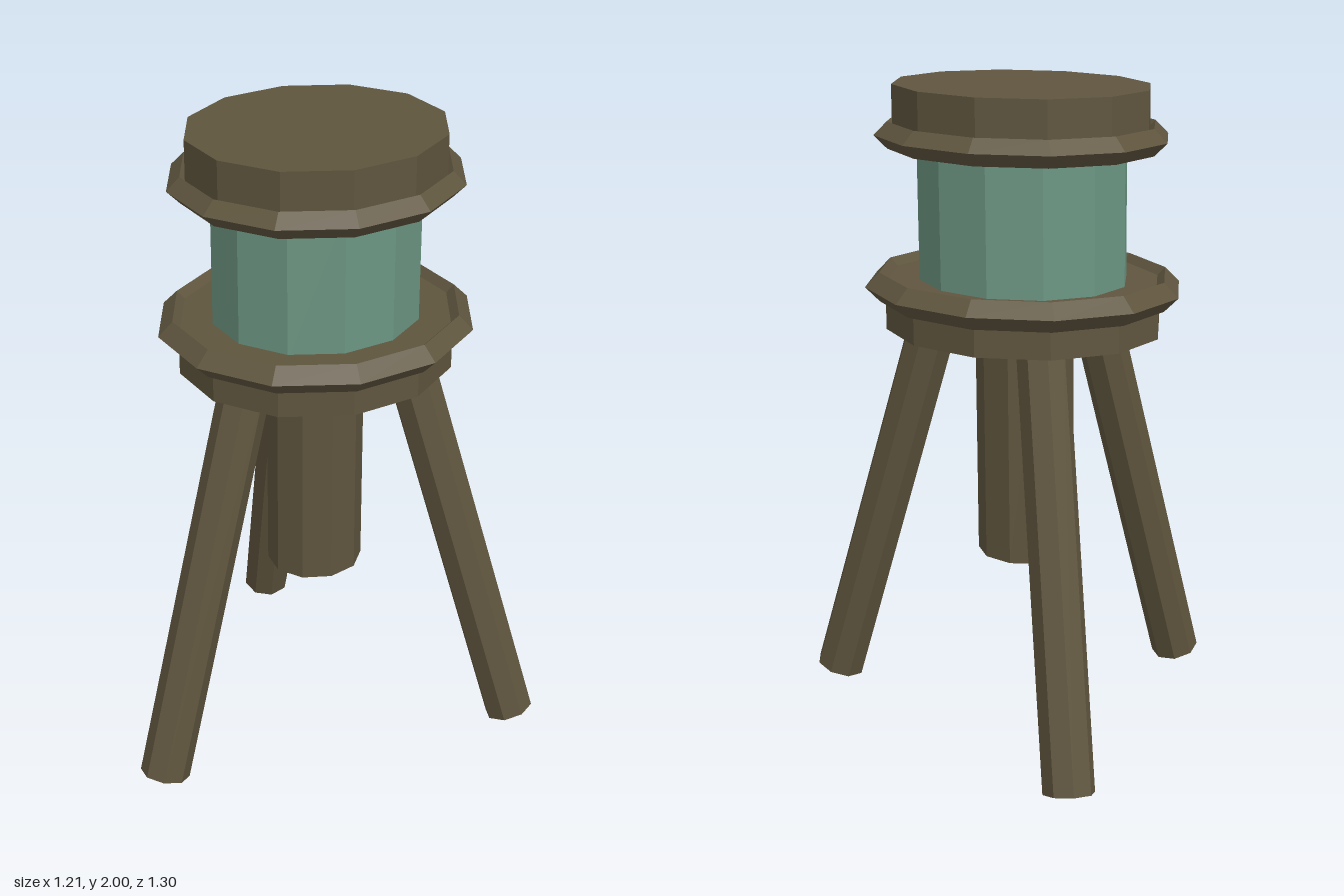
import * as THREE from 'three';

export function createModel() {
  const model = new THREE.Group();
  const bronze = new THREE.MeshStandardMaterial({ color: 0x5f553e });
  bronze.name = 'dark bronze';
  const glass = new THREE.MeshStandardMaterial({ color: 0x6c9682 });
  glass.name = 'green glass';

  // The whole body leans slightly around an off-centre axis
  const lean = new THREE.Matrix4().set(
    1, 0.0147, 0, -0.14,
    0.0155, 1, 0, 0,
    0, 0, 1, 0,
    0, 0, 0, 1
  );

  // Adds a faceted part
  function add(name, geometry, material) {
    const flat = geometry.toNonIndexed().applyMatrix4(lean);
    flat.computeVertexNormals();
    const mesh = new THREE.Mesh(flat, material);
    mesh.name = name;
    model.add(mesh);
  }

  // Upright prism between two heights
  const prism = (radius, y0, y1, sides) =>
    new THREE.CylinderGeometry(radius, radius, y1 - y0, sides).translate(0, (y0 + y1) / 2, 0);

  // Diamond-section ring
  const ring = (radius, tube, y) =>
    new THREE.TorusGeometry(radius, tube, 4, 12).rotateX(Math.PI / 2).translate(0, y, 0);

  // Head: cap, glass drum, base and the two rims
  add('cap', prism(0.39, 1.83, 1.994, 12), bronze);
  add('upperRim', ring(0.406, 0.04, 1.845), bronze);
  add('glassDrum', prism(0.319, 1.39, 1.85, 12), glass);
  add('lowerRim', ring(0.441, 0.044, 1.39), bronze);
  add('base', prism(0.423, 1.26, 1.41, 12), bronze);

  // Hanging pipe under the base
  add('pipe', prism(0.15, 0.54, 1.3, 10), bronze);

  // Three splayed legs, each cut square to its own axis
  const foot = new THREE.Vector2(0.665, 0.031);
  const top = new THREE.Vector2(0.274, 1.33);
  const tilt = Math.atan2(foot.x - top.x, top.y - foot.y);
  for (let i = 0; i < 3; i++) {
    const leg = new THREE.CylinderGeometry(0.078, 0.078, foot.distanceTo(top), 8)
      .rotateZ(tilt)
      .translate((foot.x + top.x) / 2, (foot.y + top.y) / 2, 0)
      .rotateY((i * Math.PI * 2) / 3);
    add('leg' + (i + 1), leg, bronze);
  }
  return model;
}
